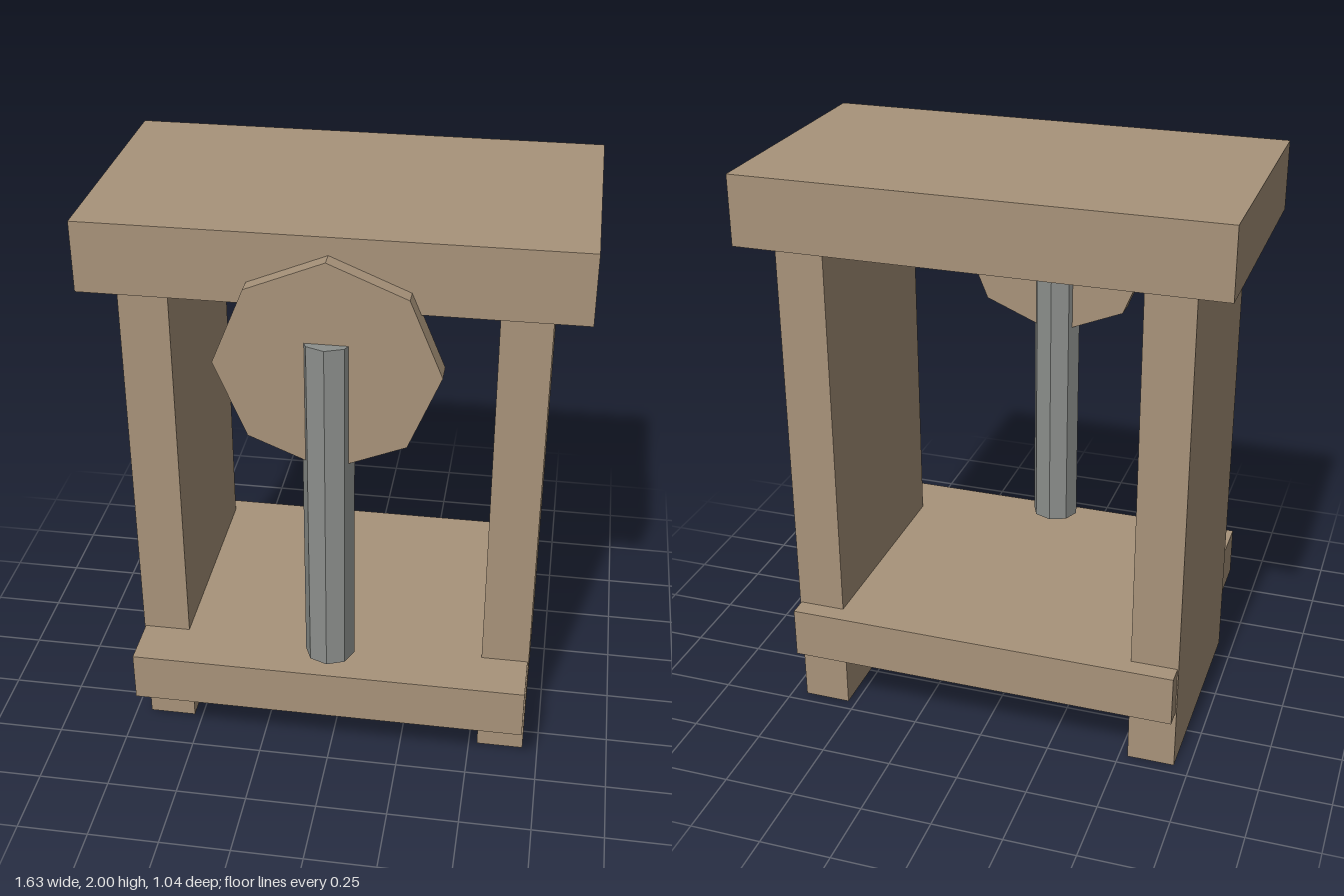
import * as THREE from 'three';

export function createModel() {
  const group = new THREE.Group();
  const wood = new THREE.MeshStandardMaterial({ color: 0xa8937a });
  wood.name = 'wood';
  const metal = new THREE.MeshStandardMaterial({ color: 0x8c8f8c });
  metal.name = 'metal';

  const add = (name, geometry, material, x, y, z) => {
    const mesh = new THREE.Mesh(geometry, material);
    mesh.name = name;
    mesh.position.set(x, y, z);
    group.add(mesh);
    return mesh;
  };

  // Box given by its extents
  const box = (name, [x0, x1], [y0, y1], [z0, z1]) =>
    add(name, new THREE.BoxGeometry(x1 - x0, y1 - y0, z1 - z0), wood,
      (x0 + x1) / 2, (y0 + y1) / 2, (z0 + z1) / 2);

  // Octagonal prism with hard facets and a corner on +z
  const octagon = (radius, length) => {
    const g = new THREE.CylinderGeometry(radius, radius, length, 8).toNonIndexed();
    g.computeVertexNormals();
    return g;
  };

  // Frame: top board, shelf and two side panels
  box('topBoard', [-0.815, 0.815], [1.76, 2], [-0.52, 0.4]);
  box('shelf', [-0.692, 0.692], [0.22, 0.4], [-0.522, 0.522]);
  box('leftPanel', [0.53, 0.696], [0, 1.76], [-0.457, 0.34]);
  box('rightPanel', [-0.696, -0.53], [0, 1.76], [-0.457, 0.34]);

  // Round face with a corner straight up
  const disc = add('disc', octagon(0.367, 0.075), wood, 0, 1.573, 0.417);
  disc.rotation.x = Math.PI / 2;

  // Hanging rod through the disc
  const rod = add('rod', octagon(0.086, 1.23), metal, 0, 1.048, 0.418);
  rod.scale.z = 0.95;

  return group;
}
